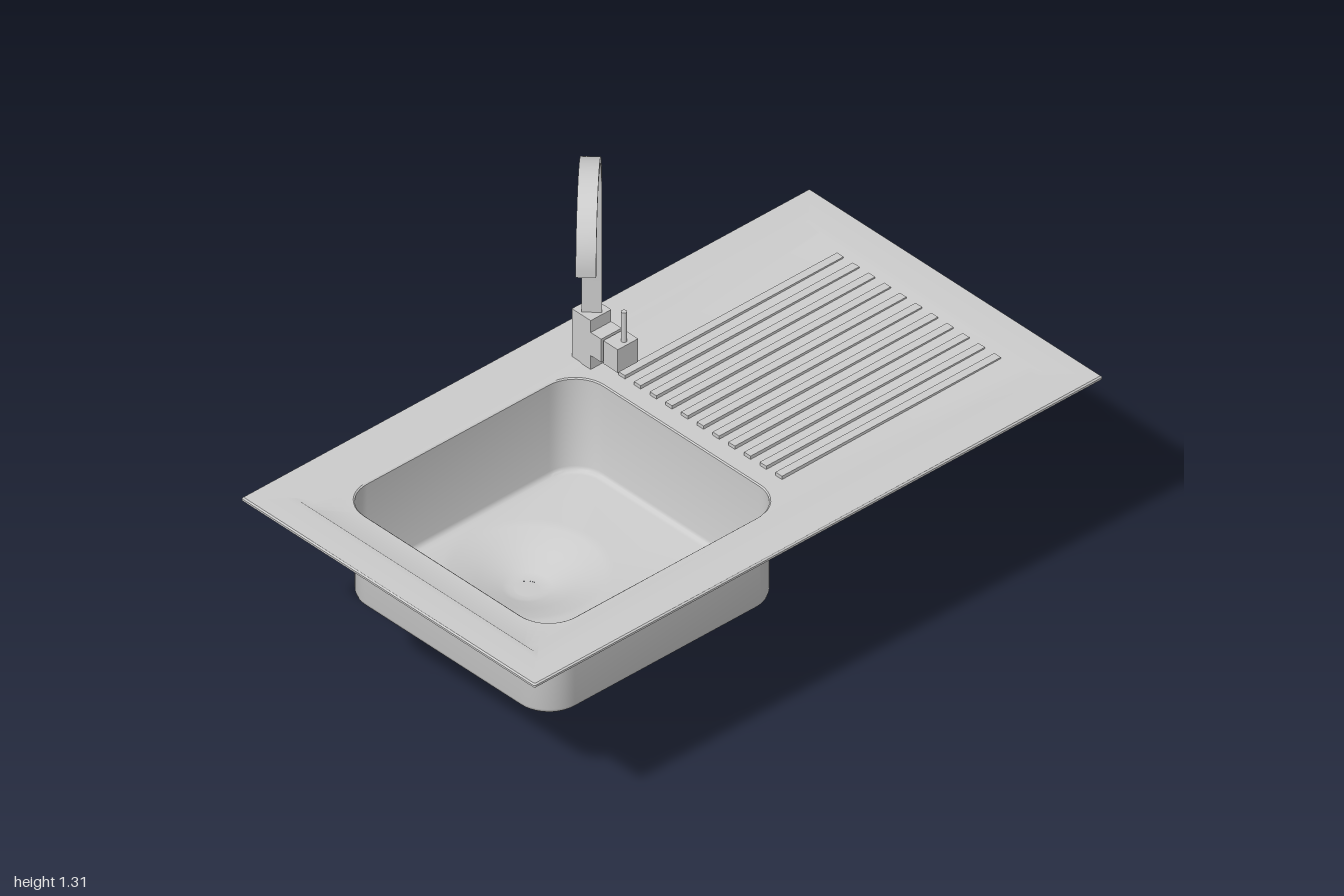
import * as THREE from 'three';
import { toCreasedNormals } from 'three/addons/utils/BufferGeometryUtils.js';

const steel = new THREE.MeshStandardMaterial({ color: 0xcccccc, side: THREE.DoubleSide });
const CORNER_STEPS = 10;

// Rounded rectangle ring in the XZ plane; y is a number or a function of z
function ring(cx, cz, hx, hz, r, y) {
  const points = [];
  const signs = [[1, 1], [-1, 1], [-1, -1], [1, -1]];
  signs.forEach(([sx, sz], corner) => {
    for (let i = 0; i <= CORNER_STEPS; i++) {
      const a = (corner + i / CORNER_STEPS) * Math.PI / 2;
      const x = cx + sx * (hx - r) + r * Math.cos(a);
      const z = cz + sz * (hz - r) + r * Math.sin(a);
      points.push([x, typeof y === 'function' ? y(z) : y, z]);
    }
  });
  return points;
}

// Skin between successive rings, faces up/inward when going from outside to inside
function loft(rings, crease = 0.6) {
  const n = rings[0].length;
  const index = [];
  for (let k = 0; k < rings.length - 1; k++) {
    for (let j = 0; j < n; j++) {
      const a = k * n + j, b = k * n + (j + 1) % n;
      index.push(a, a + n, b, b, a + n, b + n);
    }
  }
  const geometry = new THREE.BufferGeometry();
  geometry.setAttribute('position', new THREE.Float32BufferAttribute(rings.flat(2), 3));
  geometry.setIndex(index);
  return toCreasedNormals(geometry, crease);
}

function add(parent, name, geometry, x = 0, y = 0, z = 0) {
  const mesh = new THREE.Mesh(geometry, steel);
  mesh.name = name;
  mesh.position.set(x, y, z);
  parent.add(mesh);
  return mesh;
}

// Box given by its minimum and maximum corners
function addBox(parent, name, min, max) {
  const size = max.map((v, i) => v - min[i]);
  const mid = max.map((v, i) => (v + min[i]) / 2);
  return add(parent, name, new THREE.BoxGeometry(...size), ...mid);
}

export function createModel() {
  const sink = new THREE.Group();
  sink.name = 'kitchenSink';

  const bx = 0.003, bz = 0.39;          // basin centre
  const dx = -0.13, dz = 0.39;          // drain centre
  const basin = (inset, y) => ring(bx, bz, 0.397 - inset, 0.42 - inset, 0.1 - inset, y);
  const tray = (inset, y) => ring(0, 0, 0.56 - inset, 1 - inset, 0.004, y);
  const drain = (r, y) => ring(dx, dz, r, r, r, y);
  const slope = z => (z < -0.5 ? 0.582 : 0.575);   // drainer falls towards the basin

  // Worktop sheet: flat underside, rolled edge, raised rim, sunken floor
  add(sink, 'tray', loft([
    basin(0, 0.572), tray(0.003, 0.572), tray(0, 0.575), tray(0, 0.581),
    tray(0.004, 0.585), tray(0.08, 0.585), tray(0.1, 0.584),
    ring(0, 0, 0.425, 0.89, 0.03, slope), basin(-0.004, 0.575),
  ]));

  // Basin: lip, walls, rounded foot, floor falling into the drain
  add(sink, 'basin', loft([
    basin(-0.004, 0.575), basin(0, 0.572), basin(0, 0.295), basin(0.003, 0.286),
    basin(0.009, 0.281), basin(0.018, 0.279), drain(0.225, 0.279), drain(0.2, 0.274),
    drain(0.13, 0.25), drain(0.065, 0.225), drain(0.05, 0.221), drain(0.034, 0.22),
  ]));

  add(sink, 'drainPipe', new THREE.CylinderGeometry(0.035, 0.035, 0.219, 32), dx, 0.1095, dz);

  // Raised draining ribs
  const ribs = new THREE.Group();
  ribs.name = 'drainerRibs';
  sink.add(ribs);
  for (let i = 0; i < 11; i++) {
    const x = -0.29 + i * 0.06;
    addBox(ribs, 'rib', [x - 0.0125, 0.57, -0.86], [x + 0.0125, 0.586, -0.09]);
  }

  // Tap: body, side valve and lever
  const tap = new THREE.Group();
  tap.name = 'tap';
  sink.add(tap);
  addBox(tap, 'tapBody', [-0.44, 0.574, -0.125], [-0.368, 0.732, -0.053]);
  addBox(tap, 'valveArm', [-0.368, 0.62, -0.125], [-0.328, 0.694, -0.053]);
  addBox(tap, 'valveNeck', [-0.328, 0.628, -0.117], [-0.32, 0.686, -0.061]);
  addBox(tap, 'valveBlock', [-0.32, 0.62, -0.125], [-0.265, 0.694, -0.053]);
  add(tap, 'lever', new THREE.CylinderGeometry(0.008, 0.008, 0.1, 16), -0.283, 0.738, -0.092);

  // Flat swan-neck spout, swung 45 degrees over the basin
  const R = 0.18, t = 0.009, width = 0.053, top = 0.393, end = 0.375;
  const outline = new THREE.Shape();
  outline.moveTo(-t, 0);
  outline.lineTo(-t, top);
  outline.absarc(R, top, R + t, Math.PI, 0, true);
  outline.lineTo(2 * R + t, end);
  outline.lineTo(2 * R - t, end);
  outline.lineTo(2 * R - t, top);
  outline.absarc(R, top, R - t, 0, Math.PI, false);
  outline.lineTo(t, 0);
  outline.closePath();
  const strip = new THREE.ExtrudeGeometry(outline, { depth: width, bevelEnabled: false, curveSegments: 28 });
  strip.translate(0, 0, -width / 2);
  const spout = add(tap, 'spout', toCreasedNormals(strip, 0.6), -0.4, 0.73, -0.086);
  spout.rotation.y = -Math.PI / 4;

  return sink;
}
